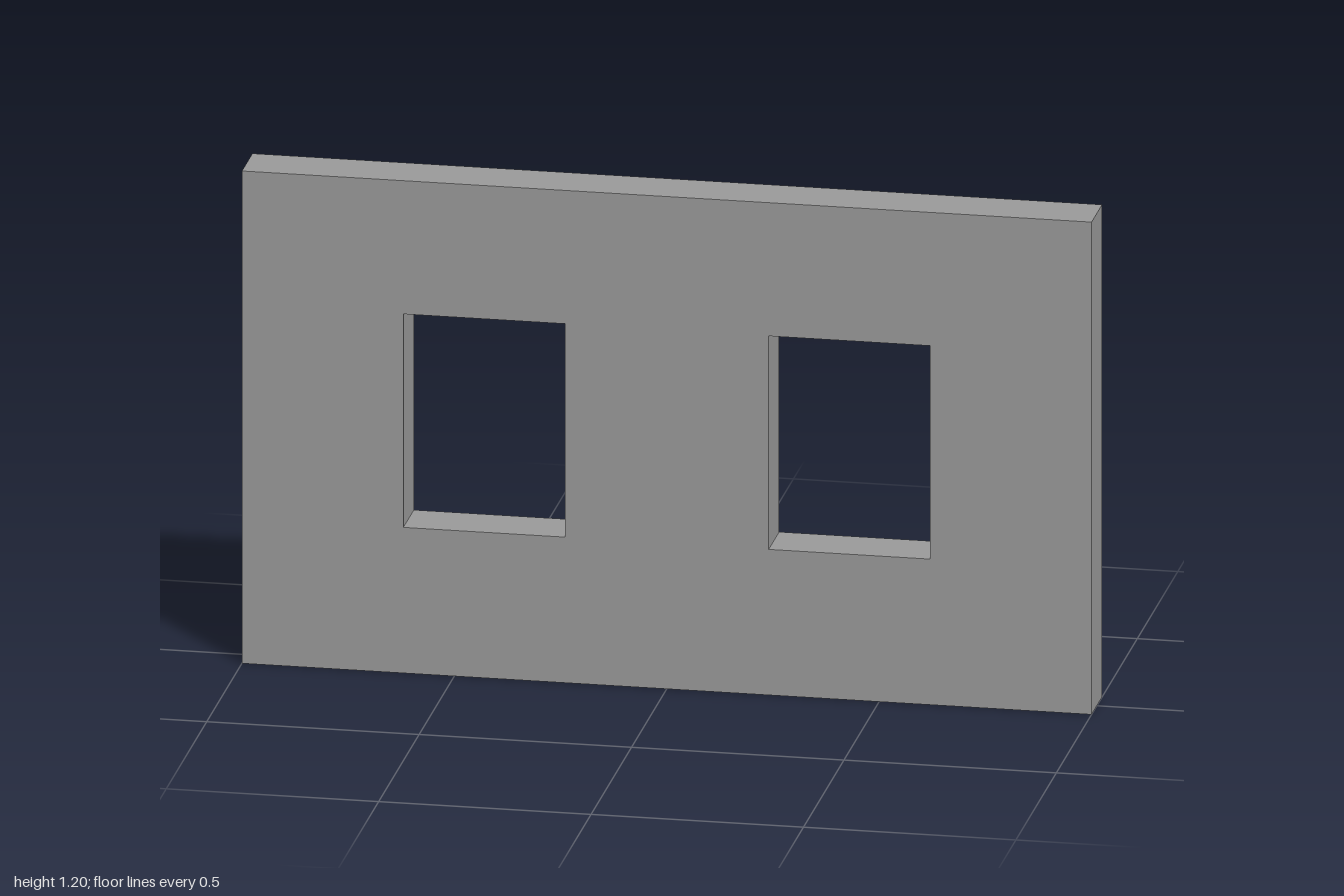
import * as THREE from 'three';

const WIDTH = 2, HEIGHT = 1.2, DEPTH = 0.13;
const WINDOW = { centre: 0.43, width: 0.38, bottom: 0.355, top: 0.875 };

// Adds the corners of a rectangle to a shape or path
function rectangle(path, x0, y0, x1, y1) {
  path.moveTo(x0, y0);
  path.lineTo(x1, y0);
  path.lineTo(x1, y1);
  path.lineTo(x0, y1);
  path.closePath();
  return path;
}

export function createModel() {
  const group = new THREE.Group();
  group.name = 'wallPanel';

  // Wall outline with two mirrored window openings
  const outline = rectangle(new THREE.Shape(), -WIDTH / 2, 0, WIDTH / 2, HEIGHT);
  for (const side of [-1, 1]) {
    const x = side * WINDOW.centre;
    outline.holes.push(rectangle(new THREE.Path(),
      x - WINDOW.width / 2, WINDOW.bottom, x + WINDOW.width / 2, WINDOW.top));
  }

  // Solid wall, centred in depth
  const geometry = new THREE.ExtrudeGeometry(outline, { depth: DEPTH, bevelEnabled: false });
  geometry.translate(0, 0, -DEPTH / 2);
  const wall = new THREE.Mesh(geometry,
    new THREE.MeshStandardMaterial({ color: 0x9b9b9b, flatShading: true }));
  wall.name = 'wall';
  group.add(wall);

  return group;
}
